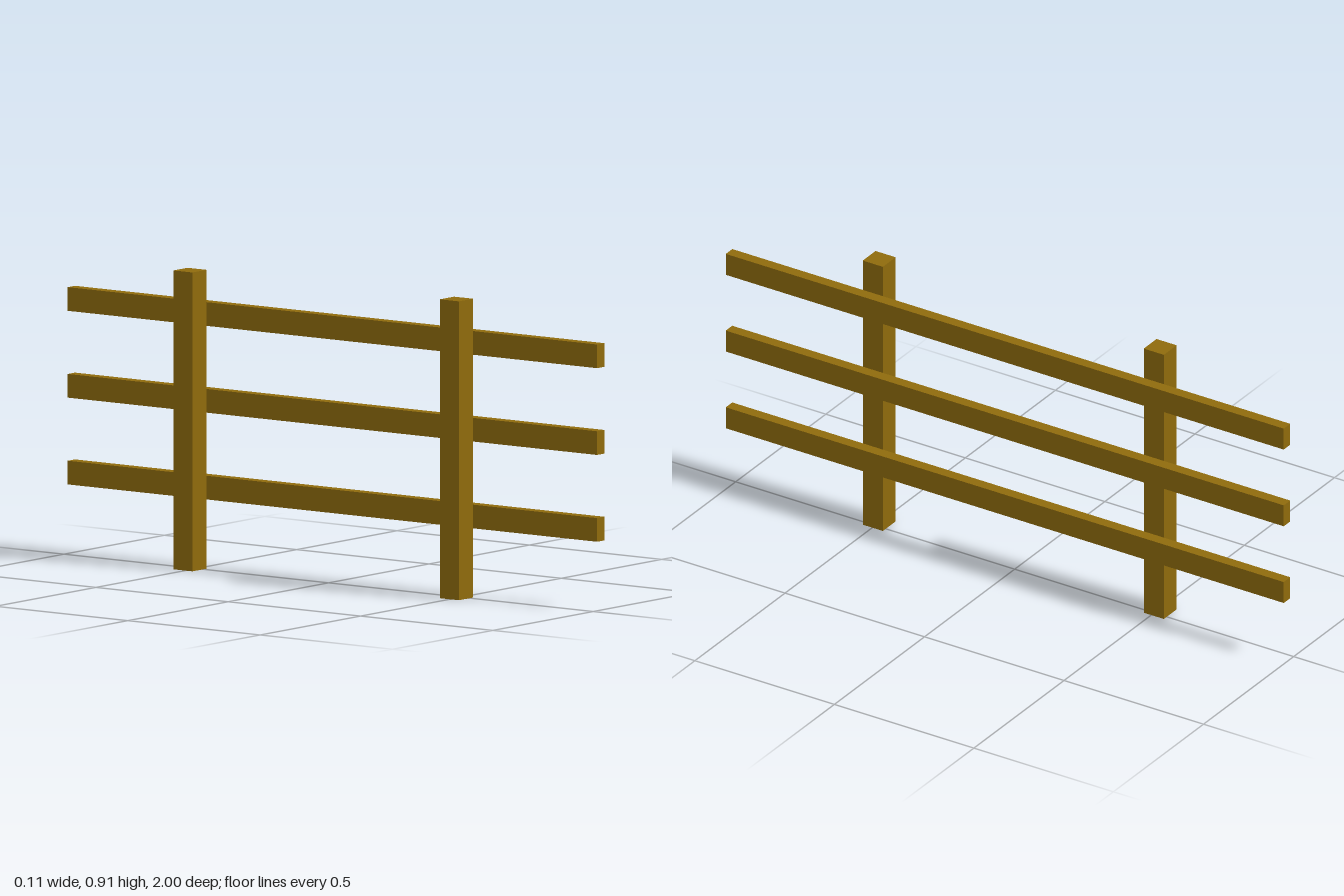
import * as THREE from 'three';

export function createModel() {
  const model = new THREE.Group();
  model.name = 'fence';
  const wood = new THREE.MeshStandardMaterial({ color: 0x8f6b0c });

  const addBeam = (name, size, position) => {
    const beam = new THREE.Mesh(new THREE.BoxGeometry(...size), wood);
    beam.name = name;
    beam.position.set(...position);
    model.add(beam);
  };

  // Square upright posts
  const postHeight = 0.909;
  [['frontPost', 0.498], ['backPost', -0.509]].forEach(([name, z]) =>
    addBeam(name, [0.071, postHeight, 0.072], [-0.0195, postHeight / 2, z]));

  // Long horizontal rails, standing just clear of the posts
  [['lowerRail', 0.246], ['middleRail', 0.51], ['upperRail', 0.774]].forEach(([name, y]) =>
    addBeam(name, [0.036, 0.072, 2], [0.037, y, 0]));

  return model;
}
